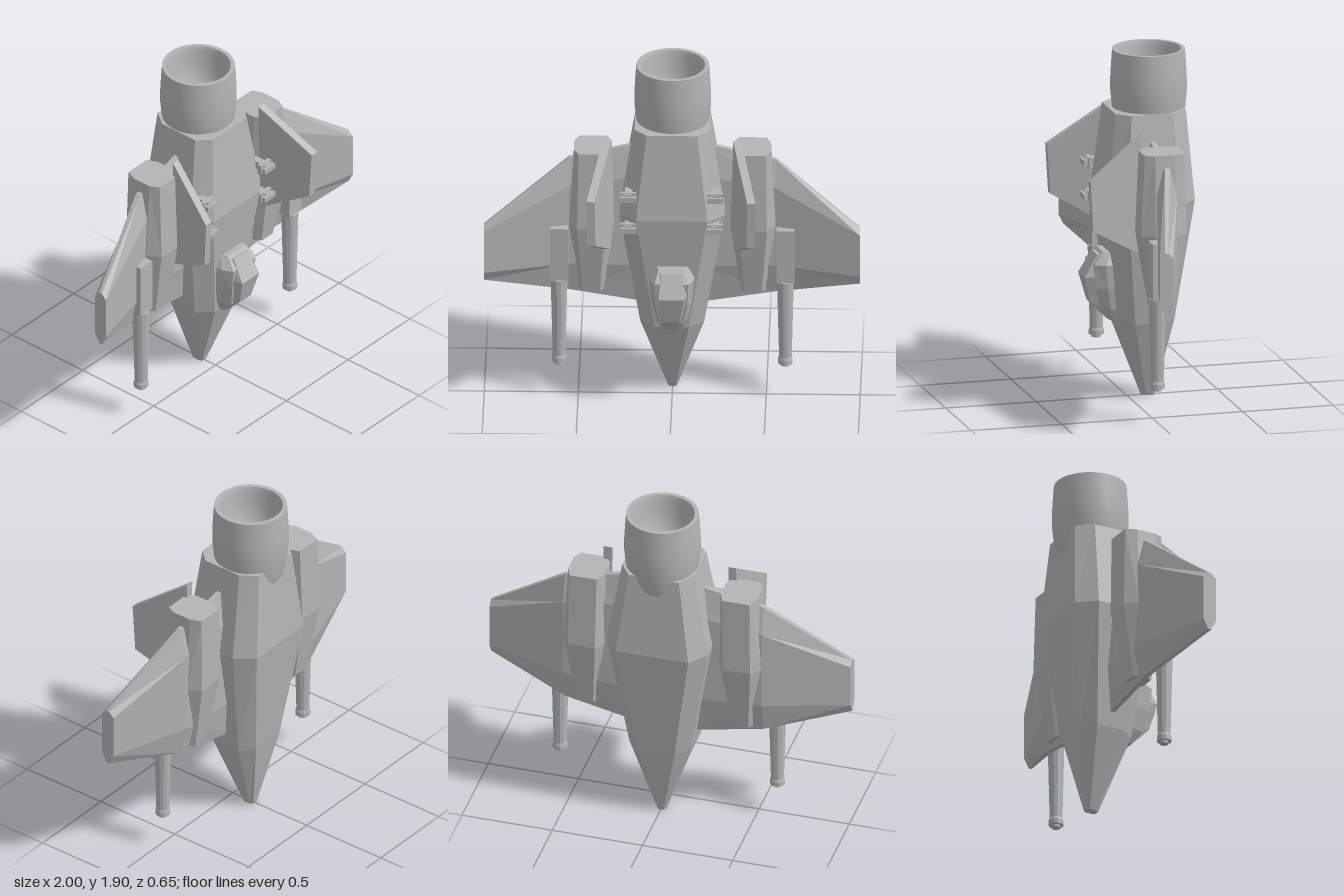
import * as THREE from 'three';

const grey = new THREE.MeshStandardMaterial({ color: 0xb4b4b4 });
grey.name = 'hull grey';

// Flat-shaded solid through matching rings of [x, y, z] corners, closed at both ends.
function loft(rings) {
  const tris = [];
  const n = rings[0].length;
  for (let i = 0; i < rings.length - 1; i++) {
    for (let j = 0; j < n; j++) {
      const k = (j + 1) % n;
      const a = rings[i], b = rings[i + 1];
      tris.push([a[j], a[k], b[k]], [a[j], b[k], b[j]]);
    }
  }
  const first = rings[0], last = rings[rings.length - 1];
  for (let j = 1; j < n - 1; j++) {
    tris.push([first[0], first[j + 1], first[j]], [last[0], last[j], last[j + 1]]);
  }
  // turn every face outward
  let volume = 0;
  for (const [a, b, c] of tris) {
    volume += a[0] * (b[1] * c[2] - b[2] * c[1]) + a[1] * (b[2] * c[0] - b[0] * c[2]) + a[2] * (b[0] * c[1] - b[1] * c[0]);
  }
  if (volume < 0) tris.forEach((t) => t.reverse());
  const geometry = new THREE.BufferGeometry();
  geometry.setAttribute('position', new THREE.Float32BufferAttribute(tris.flat(2), 3));
  geometry.computeVertexNormals();
  return geometry;
}

// Eight-sided ring at height y: side x range, side z range, and chamfer sizes.
function octagon(y, cx, half, front, back, flatFront, flatBack, sideFront, sideBack) {
  return [
    [cx - flatFront, y, front], [cx + flatFront, y, front],
    [cx + half, y, sideFront], [cx + half, y, sideBack],
    [cx + flatBack, y, back], [cx - flatBack, y, back],
    [cx - half, y, sideBack], [cx - half, y, sideFront],
  ];
}

function part(parent, name, geometry, x = 0, y = 0, z = 0) {
  const mesh = new THREE.Mesh(geometry, grey);
  mesh.name = name;
  mesh.position.set(x, y, z);
  parent.add(mesh);
  return mesh;
}

const box = (w, h, d) => new THREE.BoxGeometry(w, h, d);

// Eight-sided turned piece with flat faces
function turned(points, sides) {
  const g = new THREE.LatheGeometry(points.map(([r, y]) => new THREE.Vector2(r, y)), sides, Math.PI / sides).toNonIndexed();
  g.computeVertexNormals();
  return g;
}

function addSide(model, s) {
  const side = new THREE.Group();
  side.name = s > 0 ? 'leftSide' : 'rightSide';
  model.add(side);
  const mirror = (rings) => rings.map((r) => r.map(([x, y, z]) => [x * s, y, z]));

  // Wing: bevelled section running from root to tip
  const wingSection = (x, bottom, low, high, top, z, t) => [
    [x, bottom, z - t * 0.25], [x, low, z - t], [x, high, z - t], [x, top, z - t * 0.25],
    [x, top, z + t * 0.25], [x, high, z + t], [x, low, z + t], [x, bottom, z + t * 0.25],
  ];
  part(side, 'wing', loft(mirror([
    wingSection(0.15, 0.51, 0.74, 1.28, 1.46, -0.085, 0.05),
    wingSection(0.55, 0.585, 0.76, 1.22, 1.37, -0.07, 0.055),
    wingSection(1.0, 0.7, 0.755, 1.0, 1.03, 0.06, 0.038),
  ])));

  // Pod between the fuselage and the outer wing
  part(side, 'pod', loft(mirror([
    octagon(0.6, 0.43, 0.065, -0.01, -0.12, 0.045, 0.045, -0.04, -0.09),
    octagon(1.0, 0.43, 0.12, 0.06, -0.19, 0.075, 0.075, -0.01, -0.12),
    octagon(1.44, 0.423, 0.1, 0.04, -0.18, 0.075, 0.075, -0.01, -0.12),
  ])));

  // Canted fin
  const finOutline = [[1.52, 0.02], [1.3, 0.325], [1.03, 0.31], [0.87, 0.03]];
  const finRing = (offset) => finOutline.map(([y, z]) => [0.34 + z * 0.27 + offset, y, z]);
  part(side, 'fin', loft(mirror([finRing(-0.022), finRing(0.022)])));

  // Gun with housing, barrel and muzzle
  part(side, 'gunHousing', box(0.095, 0.31, 0.075), 0.602 * s, 0.835, 0);
  part(side, 'gunBarrel', turned([
    [0, 0.175], [0.024, 0.175], [0.024, 0.188], [0.04, 0.19], [0.04, 0.215],
    [0.035, 0.23], [0.046, 0.68], [0, 0.7],
  ], 12), 0.602 * s, 0, 0);

  // Clips on the fuselage shoulder
  for (const y of [1.24, 1.055]) {
    part(side, 'clipBase', box(0.085, 0.055, 0.022), 0.23 * s, y, 0.145);
    part(side, 'clipPost', box(0.04, 0.045, 0.1), 0.23 * s, y, 0.12);
    part(side, 'clipTop', box(0.085, 0.03, 0.02), 0.23 * s, y, 0.175);
  }
}

export function createModel() {
  const model = new THREE.Group();
  model.name = 'spacecraft';

  // Fuselage from nose to tail
  part(model, 'fuselage', loft([
    octagon(0, 0, 0.025, -0.08, -0.15, 0.015, 0.015, -0.1, -0.135),
    octagon(0.43, 0, 0.17, 0.075, -0.235, 0.09, 0.1, 0.0, -0.17),
    octagon(1.1, 0, 0.28, 0.15, -0.32, 0.19, 0.2, 0.07, -0.22),
    octagon(1.585, 0, 0.2, 0.1, -0.287, 0.135, 0.14, 0.03, -0.2),
  ]));

  // Engine nozzle: rounded shell with a hollow throat
  const nozzle = [
    [0, 1.43], [0.16, 1.43], [0.182, 1.5], [0.196, 1.59], [0.204, 1.67], [0.204, 1.74],
    [0.199, 1.83], [0.194, 1.9], [0.194, 1.9], [0.172, 1.9], [0.172, 1.9], [0.163, 1.87],
    [0.158, 1.8], [0.14, 1.72], [0.108, 1.66], [0, 1.66],
  ].map(([r, y]) => new THREE.Vector2(r, y));
  part(model, 'engineNozzle', new THREE.LatheGeometry(nozzle, 40), 0, 0, -0.12);
  part(model, 'engineCore', new THREE.SphereGeometry(0.105, 32, 16, 0, Math.PI * 2, 0, Math.PI / 2), 0, 1.66, -0.12);

  // Cockpit frame and raised canopy, each ring lying across the fuselage
  const hood = (y, wide, narrow, back, front) => [
    [-wide, y, back], [wide, y, back], [wide, y, back + (front - back) * 0.6],
    [narrow, y, front], [-narrow, y, front], [-wide, y, back + (front - back) * 0.6],
  ];
  part(model, 'cockpitFrame', loft([
    hood(0.43, 0.055, 0.04, 0.03, 0.105),
    hood(0.5, 0.085, 0.06, 0.03, 0.165),
    hood(0.62, 0.108, 0.085, 0.05, 0.19),
    hood(0.75, 0.12, 0.09, 0.06, 0.205),
    hood(0.815, 0.085, 0.07, 0.06, 0.15),
  ]));
  part(model, 'canopy', loft([
    hood(0.44, 0.045, 0.035, 0.05, 0.12),
    hood(0.53, 0.06, 0.045, 0.05, 0.21),
    hood(0.68, 0.085, 0.068, 0.08, 0.25),
    hood(0.8, 0.07, 0.055, 0.08, 0.18),
  ]));

  addSide(model, 1);
  addSide(model, -1);
  return model;
}
